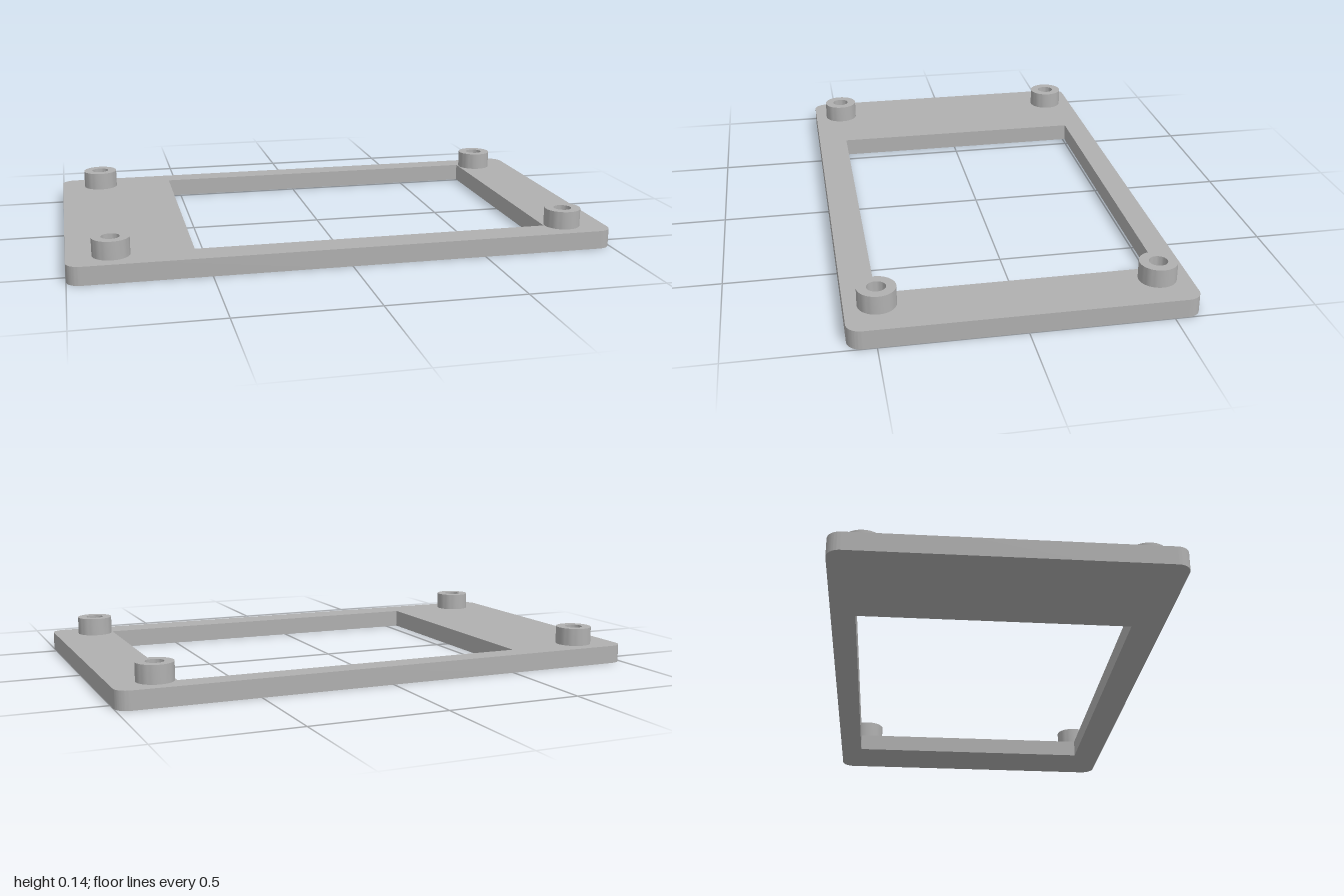
import * as THREE from 'three';
import { toCreasedNormals } from 'three/addons/utils/BufferGeometryUtils.js';

const HALF_X = 1, HALF_Z = 0.597, CORNER = 0.05;
const PLATE_TOP = 0.068, POST_TOP = 0.135;

export function createModel() {
  const model = new THREE.Group();
  model.name = 'mountingFrame';
  const grey = new THREE.MeshStandardMaterial({ color: 0xb0b0b0 });
  grey.name = 'grey';

  // Rounded plate outline, drawn with shape y = -z
  const outline = new THREE.Shape();
  const cx = HALF_X - CORNER, cz = HALF_Z - CORNER;
  outline.absarc(cx, cz, CORNER, 0, Math.PI / 2);
  outline.absarc(-cx, cz, CORNER, Math.PI / 2, Math.PI);
  outline.absarc(-cx, -cz, CORNER, Math.PI, Math.PI * 1.5);
  outline.absarc(cx, -cz, CORNER, Math.PI * 1.5, Math.PI * 2);
  outline.closePath();

  // Off-centre rectangular window
  const opening = new THREE.Path();
  opening.moveTo(-0.55, -0.482);
  opening.lineTo(-0.55, 0.509);
  opening.lineTo(0.771, 0.509);
  opening.lineTo(0.771, -0.482);
  opening.closePath();
  outline.holes.push(opening);

  const plateGeometry = new THREE.ExtrudeGeometry(outline, {
    depth: PLATE_TOP, bevelEnabled: false, curveSegments: 10,
  });
  plateGeometry.rotateX(-Math.PI / 2);
  const plate = new THREE.Mesh(toCreasedNormals(plateGeometry, 0.6), grey);
  plate.name = 'plate';
  model.add(plate);

  // Hollow standoffs; the plate closes the bottom of each bore
  const profile = [[0.067, PLATE_TOP], [0.067, POST_TOP], [0.033, POST_TOP], [0.033, PLATE_TOP]]
    .map(([r, y]) => new THREE.Vector2(r, y));
  const postGeometry = toCreasedNormals(new THREE.LatheGeometry(profile, 40), 0.6);
  for (const sx of [-1, 1]) {
    for (const sz of [-1, 1]) {
      const post = new THREE.Mesh(postGeometry, grey);
      post.name = (sz > 0 ? 'front' : 'back') + (sx > 0 ? 'Left' : 'Right') + 'Standoff';
      post.position.set(sx * 0.842, 0, sz * 0.484);
      model.add(post);
    }
  }
  return model;
}
